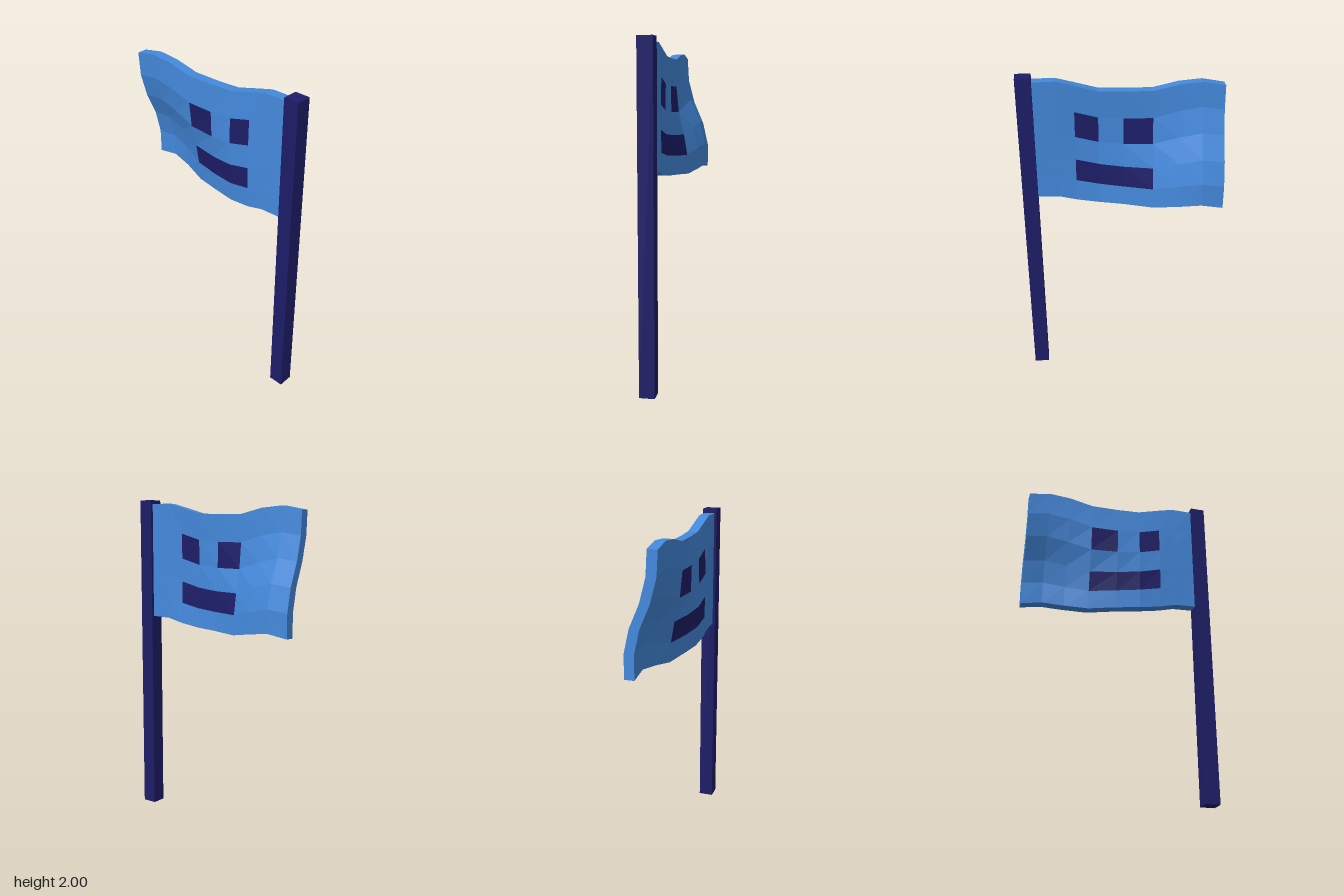
import * as THREE from 'three';

// Cloth columns run from the pole (+z) to the free end (-z)
const COL_Z = [0.5, 0.37, 0.27, 0.135, -0.01, -0.18, -0.325, -0.46, -0.59];
const TOP_Y = [1.975, 1.975, 1.948, 1.91, 1.902, 1.9, 1.932, 1.942, 1.917];
const BOTTOM_Y = [1.262, 1.256, 1.23, 1.21, 1.202, 1.19, 1.21, 1.225, 1.202];
const SWING = [0, 0, 0, 0.06, 0.25, 0.53, 0.83, 1, 1]; // sideways swing per column
const SAG = [0.1, 0.4, 0.7, 0.9, 1.1, 1, 0.6, 0.2, 0];
const BULGE = [0, 0.4, 0.8, 1, 1, 0.9, 0.6, 0.3, 0];
const ROW_SWING = [0, 0.06, 0.33, 0.77, 1, 1]; // sideways swing per row
const COLS = COL_Z.length - 1, ROWS = ROW_SWING.length - 1;
const THICKNESS = 0.06;

// Point of the waving cloth; side 0 is the +x face, side 1 the -x face
function clothPoint(c, r, side) {
  const v = r / ROWS, arch = Math.sin(Math.PI * v);
  const drop = v + 0.055 * SAG[c] * arch;
  const x = -0.025 - 0.015 * c / COLS + 0.14 * SWING[c] * ROW_SWING[r]
    - 0.014 * BULGE[c] * arch - side * THICKNESS;
  return [x, THREE.MathUtils.lerp(TOP_Y[c], BOTTOM_Y[c], drop), COL_Z[c]];
}

function addQuad(out, a, b, c, d) {
  out.push(...a, ...b, ...c, ...a, ...c, ...d);
}

// Cells that make up the two eyes and the mouth
function isFaceCell(c, r) {
  return (r === 1 && (c === 2 || c === 4)) || (r === 3 && c >= 2 && c <= 4);
}

function makeMesh(name, positions, material) {
  const geometry = new THREE.BufferGeometry();
  geometry.setAttribute('position', new THREE.Float32BufferAttribute(positions, 3));
  geometry.computeVertexNormals();
  const mesh = new THREE.Mesh(geometry, material);
  mesh.name = name;
  return mesh;
}

export function createModel() {
  const model = new THREE.Group();
  model.name = 'flag';
  const blue = new THREE.MeshStandardMaterial({ color: 0x4489dc, flatShading: true });
  const navy = new THREE.MeshStandardMaterial({ color: 0x1d1d68, flatShading: true });

  // Square pole
  const pole = new THREE.Mesh(new THREE.BoxGeometry(0.09, 2, 0.09), navy);
  pole.name = 'pole';
  pole.position.set(-0.055, 1, 0.546);
  model.add(pole);

  // Both faces of the cloth, with eye and mouth cells kept apart
  const cloth = [], eyes = [], mouth = [];
  const P = clothPoint;
  for (let c = 0; c < COLS; c++) {
    for (let r = 0; r < ROWS; r++) {
      const out = !isFaceCell(c, r) ? cloth : r === 1 ? eyes : mouth;
      addQuad(out, P(c, r, 0), P(c, r + 1, 0), P(c + 1, r + 1, 0), P(c + 1, r, 0));
      addQuad(out, P(c, r, 1), P(c + 1, r, 1), P(c + 1, r + 1, 1), P(c, r + 1, 1));
    }
  }

  // Top and bottom hems
  for (let c = 0; c < COLS; c++) {
    addQuad(cloth, P(c, 0, 0), P(c + 1, 0, 0), P(c + 1, 0, 1), P(c, 0, 1));
    addQuad(cloth, P(c, ROWS, 0), P(c, ROWS, 1), P(c + 1, ROWS, 1), P(c + 1, ROWS, 0));
  }

  // Pole-side and free-end hems
  for (let r = 0; r < ROWS; r++) {
    addQuad(cloth, P(0, r, 0), P(0, r, 1), P(0, r + 1, 1), P(0, r + 1, 0));
    addQuad(cloth, P(COLS, r, 0), P(COLS, r + 1, 0), P(COLS, r + 1, 1), P(COLS, r, 1));
  }

  model.add(makeMesh('cloth', cloth, blue));
  model.add(makeMesh('eyes', eyes, navy));
  model.add(makeMesh('mouth', mouth, navy));
  return model;
}
